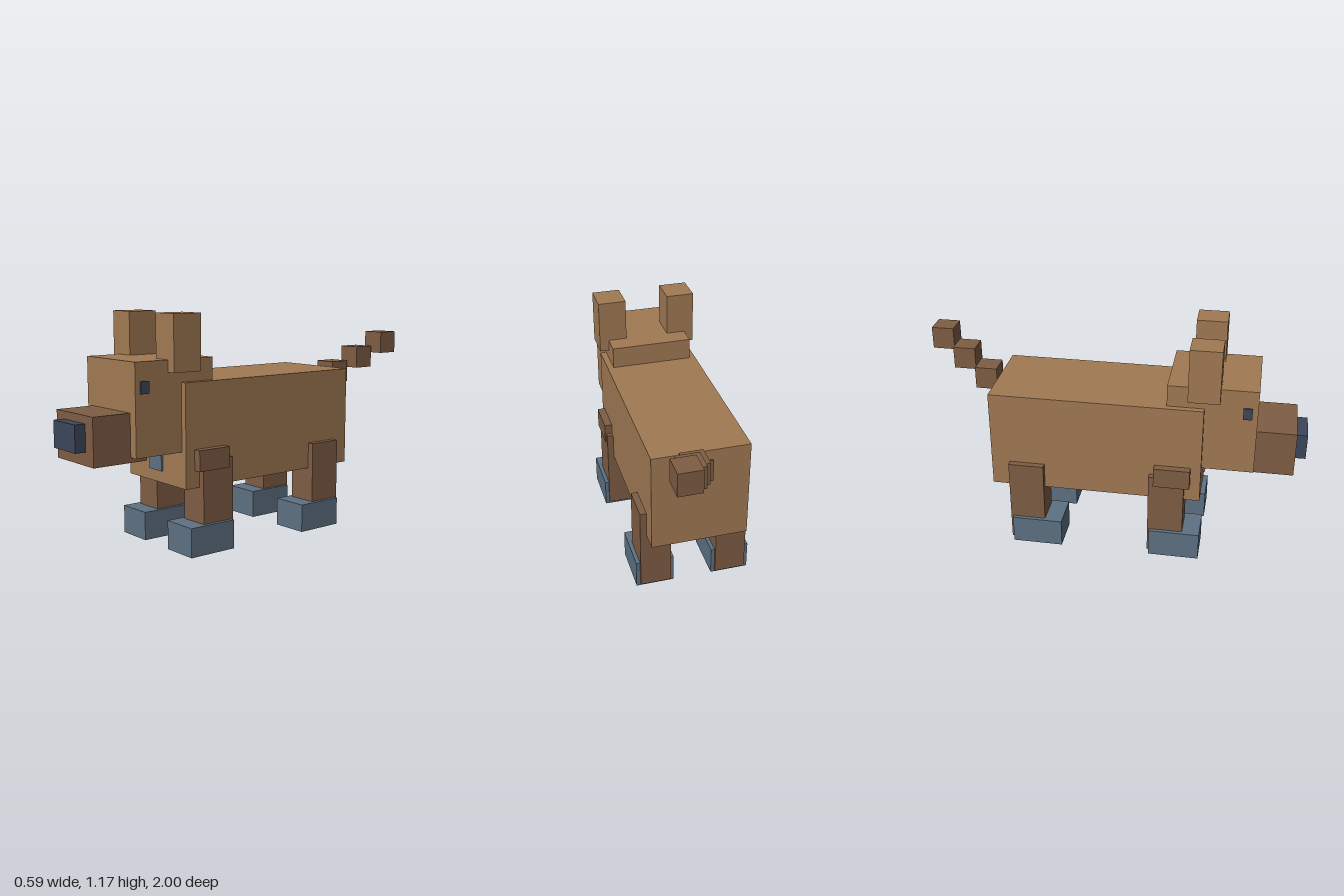
import * as THREE from 'three';

const material = (name, color) => {
  const m = new THREE.MeshStandardMaterial({ color });
  m.name = name;
  return m;
};

export function createModel() {
  const tan = material('tan fur', 0xa27a54);
  const brown = material('brown fur', 0x7f5d44);
  const slate = material('slate blue', 0x5e7183);
  const navy = material('dark navy', 0x3c475a);

  const model = new THREE.Group();
  model.name = 'blockDog';

  // Box given by its [min, max] extent along each axis
  const box = (name, mat, [x0, x1], [y0, y1], [z0, z1]) => {
    const mesh = new THREE.Mesh(new THREE.BoxGeometry(x1 - x0, y1 - y0, z1 - z0), mat);
    mesh.position.set((x0 + x1) / 2, (y0 + y1) / 2, (z0 + z1) / 2);
    mesh.name = name;
    model.add(mesh);
  };
  const centred = (name, mat, halfWidth, y, z) => box(name, mat, [-halfWidth, halfWidth], y, z);
  const pair = (name, mat, [x0, x1], y, z) => {
    box('left' + name, mat, [x0, x1], y, z);
    box('right' + name, mat, [-x1, -x0], y, z);
  };

  // Body and head
  centred('body', tan, 0.243, [0.325, 0.84], [-0.6, 0.486]);
  centred('head', tan, 0.211, [0.503, 0.951], [0.3, 0.746]);
  centred('muzzle', brown, 0.165, [0.478, 0.712], [0.657, 0.945]);
  centred('nose', navy, 0.098, [0.542, 0.674], [0.92, 1]);
  pair('Ear', tan, [0.113, 0.259], [0.892, 1.167], [0.405, 0.562]);
  pair('Eye', navy, [0.2, 0.22], [0.802, 0.861], [0.674, 0.719]);

  // Collar band showing at the sides, and its tag on the chest
  centred('collar', brown, 0.283, [0.411, 0.515], [0.25, 0.434]);
  centred('collarTag', slate, 0.051, [0.385, 0.505], [0.46, 0.496]);

  // Legs and paws
  pair('FrontLeg', brown, [0.119, 0.276], [0.015, 0.461], [0.225, 0.406]);
  pair('BackLeg', brown, [0.119, 0.276], [0.015, 0.461], [-0.504, -0.321]);
  pair('FrontPaw', slate, [0.1, 0.296], [0, 0.146], [0.235, 0.496]);
  pair('BackPaw', slate, [0.1, 0.296], [0, 0.146], [-0.49, -0.229]);

  // Tail: a rising row of cubes drifting to the left
  const half = 0.0585;
  for (let i = 0; i < 4; i++) {
    const [x, y, z] = [0.0585 * i, 0.728 + 0.08 * i, -0.5485 - 0.131 * i];
    box('tailSegment' + (i + 1), brown, [x - half, x + half], [y - half, y + half], [z - half, z + half]);
  }
  return model;
}
